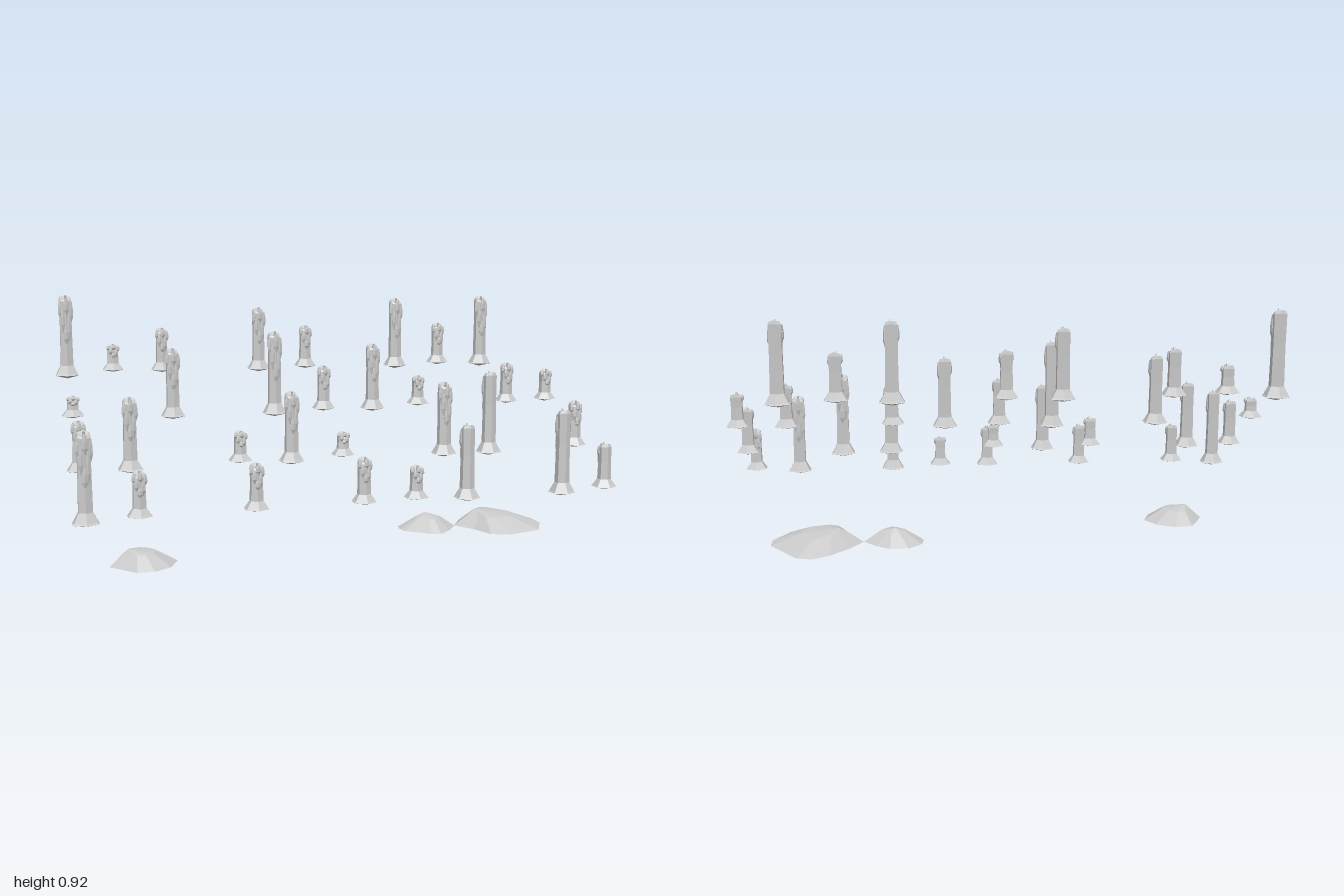
import * as THREE from 'three';

const wax = new THREE.MeshStandardMaterial({ color: 0xcccccc, flatShading: true, side: THREE.DoubleSide });

// Skin a stack of closed rings (arrays of [x, y, z]), closed by a bottom and a top point
function skin(rings, bottom, top) {
  const n = rings[0].length;
  const pos = [bottom, ...rings.flat(), top].flat();
  const last = rings.length * n + 1;
  const index = [];
  for (let i = 0; i < n; i++) {
    const j = (i + 1) % n;
    index.push(0, 1 + j, 1 + i);
    for (let r = 0; r < rings.length - 1; r++) {
      const a = 1 + r * n + i, b = 1 + r * n + j;
      index.push(a, b, b + n, a, b + n, a + n);
    }
    index.push(last - n + i, last - n + j, last);
  }
  const geo = new THREE.BufferGeometry();
  geo.setAttribute('position', new THREE.Float32BufferAttribute(pos, 3));
  geo.setIndex(index);
  const flat = geo.toNonIndexed();
  flat.computeVertexNormals();
  return flat;
}

// Six-sided ring; tilt lowers the front edge
function hexRing(r, y, tilt = 0) {
  return Array.from({ length: 6 }, (_, i) => {
    const a = (i * Math.PI) / 3;
    return [Math.sin(a) * r, y - tilt * (0.5 + 0.5 * Math.cos(a)), Math.cos(a) * r];
  });
}

function addMesh(group, name, geo) {
  const mesh = new THREE.Mesh(geo, wax);
  mesh.name = name;
  group.add(mesh);
  return mesh;
}

// Candle of total height h with its lowest point at y = 0
function candle(h) {
  const g = new THREE.Group();
  g.name = 'candle';
  const s = 0.82 + 0.18 * Math.min(1, h / 0.3);
  const flare = 0.025 + 0.08 * h;
  const rim = 0.008 + 0.015 * h;
  const top = h - 0.004;

  // Flared foot, shaft and hollow slanted top
  addMesh(g, 'candleBody', skin([
    hexRing(0.05 * s, rim),
    hexRing(0.045 * s, rim + 0.005),
    hexRing(0.027 * s, flare),
    hexRing(0.025 * s, h * 0.6),
    hexRing(0.026 * s, top - 0.012, 0.012),
    hexRing(0.021 * s, top, 0.018),
    hexRing(0.014 * s, top - 0.004, 0.014),
  ], [0, 0, 0], [0, top - 0.018, 0]));

  // Wax drips running down the front: [angle, centre, half length]
  const drips = [[0.1, 0.84, 0.13], [-0.5, 0.64, 0.17], [0.55, 0.55, 0.2], [0.0, 0.43, 0.14], [1.1, 0.76, 0.15], [-1.1, 0.8, 0.13]];
  for (const [a, c, half] of drips) {
    const drip = addMesh(g, 'waxDrip', new THREE.CylinderGeometry(0.006, 0.003, 1, 5, 3));
    const p = drip.geometry.attributes.position;
    for (let i = 0; i < p.count; i++) {
      const y = p.getY(i);
      const k = Math.abs(y) < 0.4 ? (y < 0 ? 2.5 : 1.9) : 1;
      p.setXYZ(i, p.getX(i) * k, y, p.getZ(i) * k);
    }
    drip.geometry.computeVertexNormals();
    drip.scale.set(s, (top - flare) * half * 2, s);
    drip.position.set(Math.sin(a) * 0.021 * s, flare + (top - flare) * c, Math.cos(a) * 0.021 * s);
  }

  // Short leaning wick
  const wick = addMesh(g, 'wick', new THREE.CylinderGeometry(0.004, 0.005, 0.022, 5));
  wick.position.set(0.001, top - 0.009, 0.005);
  wick.rotation.x = 0.35;
  return g;
}

// Puddle: outline of [x, z] points, shoulder ring drawn toward [cx, cz], and a peak
function puddle(outline, [cx, cz], shoulder, shoulderY, peak) {
  const ring = (k, y) => outline.map(([x, z]) => [cx + (x - cx) * k, y, cz + (z - cz) * k]);
  return skin([ring(1, 0.003), ring(shoulder, shoulderY)], [cx, 0, cz], peak);
}

export function createModel() {
  const model = new THREE.Group();
  model.name = 'floatingCandles';

  // Rows of floating candles: depth, base height, then [x, top height]
  const rows = [
    { z: -0.38, y: 0.598, list: [[-0.95, 0.92], [-0.775, 0.73], [-0.585, 0.79], [-0.195, 0.865], [0, 0.79], [0.39, 0.895], [0.58, 0.79], [0.775, 0.9]] },
    { z: -0.11, y: 0.457, list: [[-0.95, 0.565], [-0.585, 0.73], [-0.195, 0.785], [0, 0.65], [0.2, 0.73], [0.39, 0.6], [0.775, 0.64], [0.95, 0.61]] },
    { z: 0.145, y: 0.31, list: [[-0.95, 0.51], [-0.775, 0.585], [-0.385, 0.45], [-0.195, 0.585], [0, 0.43], [0.4, 0.6], [0.585, 0.635], [0.95, 0.51]] },
    { z: 0.38, y: 0.188, list: [[-0.95, 0.51], [-0.775, 0.37], [-0.38, 0.375], [0.005, 0.375], [0.2, 0.335], [0.395, 0.475], [0.775, 0.513], [0.95, 0.38]] },
  ];
  for (const { z, y, list } of rows) {
    for (const [x, topY] of list) {
      const base = y + 0.035 * Math.max(0, 1 - (topY - y) / 0.32);
      const c = candle(topY - base);
      c.position.set(x, base, z);
      // A few at the near corner face the other way
      if ((z > 0.3 && x > 0.3) || (z > 0.1 && x > 0.5 && x < 0.7)) c.rotation.y = Math.PI;
      model.add(c);
    }
  }

  // Wax puddles on the ground
  addMesh(model, 'leftmostPuddle', puddle(
    [[-0.865, 0.22], [-0.78, 0.32], [-0.72, 0.32], [-0.66, 0.28], [-0.625, 0.2], [-0.66, 0.13], [-0.73, 0.085], [-0.8, 0.1], [-0.83, 0.15]],
    [-0.77, 0.21], 0.48, 0.048, [-0.8, 0.062, 0.215]));
  addMesh(model, 'middlePuddle', puddle(
    [[0.28, 0], [0.29, 0.03], [0.37, 0.1], [0.41, 0.112], [0.46, 0.07], [0.51, 0], [0.46, -0.06], [0.41, -0.1], [0.34, -0.1], [0.29, -0.05]],
    [0.4, 0], 0.42, 0.047, [0.39, 0.062, -0.02]));
  addMesh(model, 'largePuddle', puddle(
    [[0.51, 0], [0.56, 0.08], [0.59, 0.17], [0.66, 0.2], [0.8, 0.16], [0.86, 0.05], [0.86, -0.02], [0.8, -0.11], [0.75, -0.185], [0.69, -0.2], [0.63, -0.16], [0.56, -0.08]],
    [0.63, 0], 0.48, 0.047, [0.6, 0.064, -0.01]));
  return model;
}
